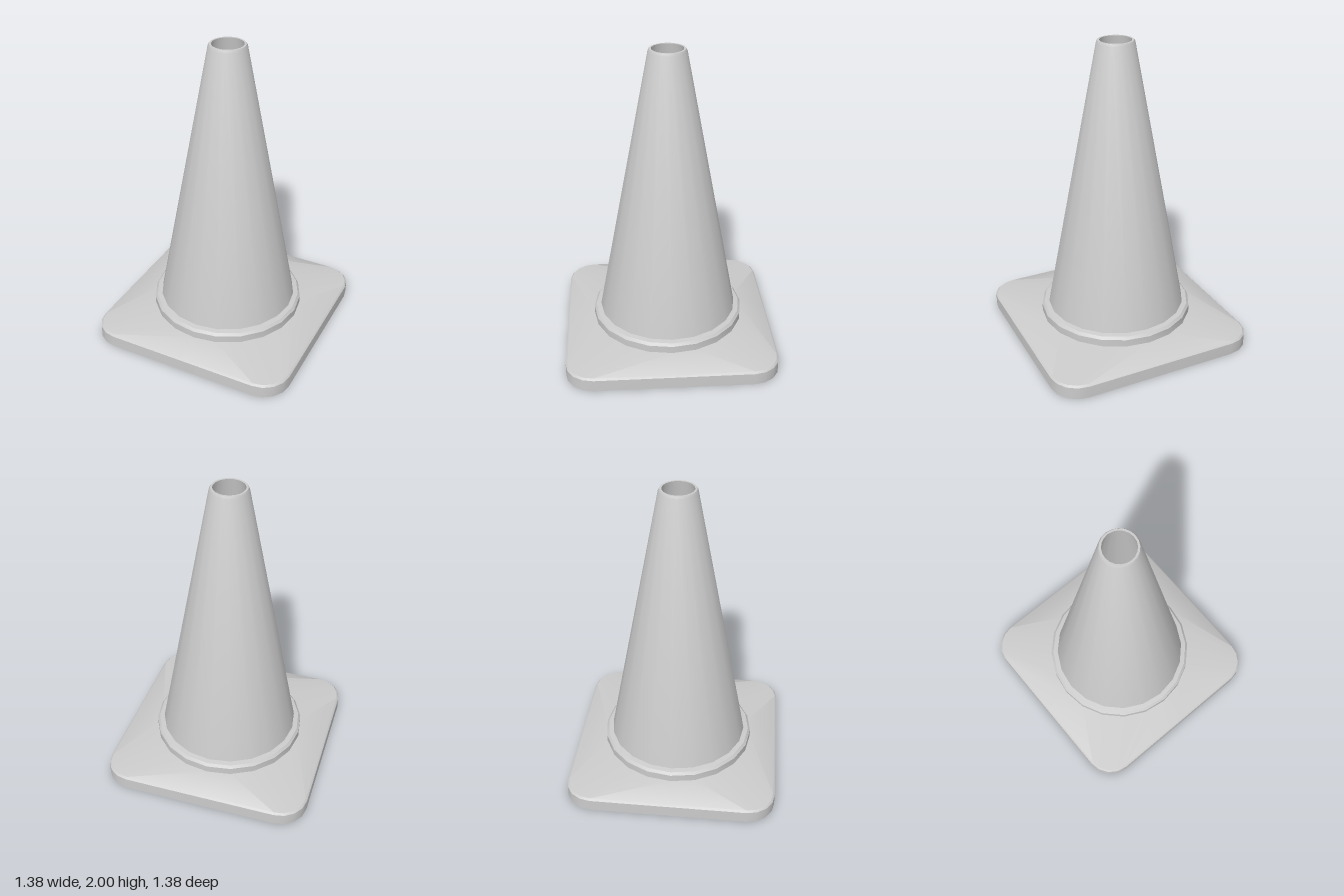
import * as THREE from 'three';
import { toCreasedNormals } from 'three/addons/utils/BufferGeometryUtils.js';

const SIDES = 20;
const HALF = 0.69; // half width of the base plate
const CORNER = 0.18; // corner radius of the base plate
const material = new THREE.MeshStandardMaterial({ color: 0xcccccc });

function addMesh(group, name, geometry, crease) {
  const mesh = new THREE.Mesh(toCreasedNormals(geometry, crease), material);
  mesh.name = name;
  group.add(mesh);
}

// Both outlines have 24 stations: per quadrant one on the axis and five around the corner.
function eachStation(pointAt) {
  const points = [];
  for (let q = 0; q < 4; q++) {
    for (let k = 0; k < 6; k++) {
      const p = pointAt(k);
      points.push(p.rotateAround(new THREE.Vector2(), q * Math.PI / 2));
    }
  }
  return points;
}

function squareOutline(inset) {
  const c = HALF - CORNER, r = CORNER - inset;
  return eachStation((k) => {
    if (k === 0) return new THREE.Vector2(HALF - inset, 0);
    const a = (k - 1) * Math.PI / 8;
    return new THREE.Vector2(c + r * Math.cos(a), c + r * Math.sin(a));
  });
}

// Twenty-sided circle; the 45 degree station lies in the middle of a side.
function circleOutline(radius) {
  return eachStation((k) => {
    const a = THREE.MathUtils.degToRad([0, 18, 36, 45, 54, 72][k]);
    const r = k === 3 ? radius * Math.cos(Math.PI / SIDES) : radius;
    return new THREE.Vector2(r * Math.cos(a), r * Math.sin(a));
  });
}

// Skin through a list of { outline, y } sections
function loft(sections) {
  const positions = [], index = [];
  const n = sections[0].outline.length;
  for (const { outline, y } of sections) {
    for (const p of outline) positions.push(p.x, y, p.y);
  }
  for (let i = 0; i < sections.length - 1; i++) {
    for (let j = 0; j < n; j++) {
      const a = i * n + j, b = i * n + (j + 1) % n;
      index.push(a, a + n, b, b, a + n, b + n);
    }
  }
  const geometry = new THREE.BufferGeometry();
  geometry.setAttribute('position', new THREE.Float32BufferAttribute(positions, 3));
  geometry.setIndex(index);
  return geometry;
}

export function createModel() {
  const group = new THREE.Group();
  group.name = 'trafficCone';

  // Base plate: flat underside with a hole, rounded sides, top rising to the collar
  addMesh(group, 'basePlate', loft([
    { outline: circleOutline(0.475), y: 0 },
    { outline: squareOutline(0), y: 0 },
    { outline: squareOutline(0), y: 0.08 },
    { outline: squareOutline(0.012), y: 0.092 },
    { outline: circleOutline(0.505), y: 0.13 },
  ]), Math.PI / 5);

  // Collar and hollow cone: up the outside, over the rim, down the inside
  const profile = [
    [0.505, 0.13], [0.505, 0.178], [0.49, 0.195], [0.458, 0.2],
    [0.121, 1.985], [0.113, 2], [0.1, 2],
    [0.43, 0.12], [0.475, 0.12], [0.475, 0],
  ].map(([r, y]) => new THREE.Vector2(r, y));
  addMesh(group, 'coneBody', new THREE.LatheGeometry(profile, SIDES), Math.PI / 6);

  return group;
}
